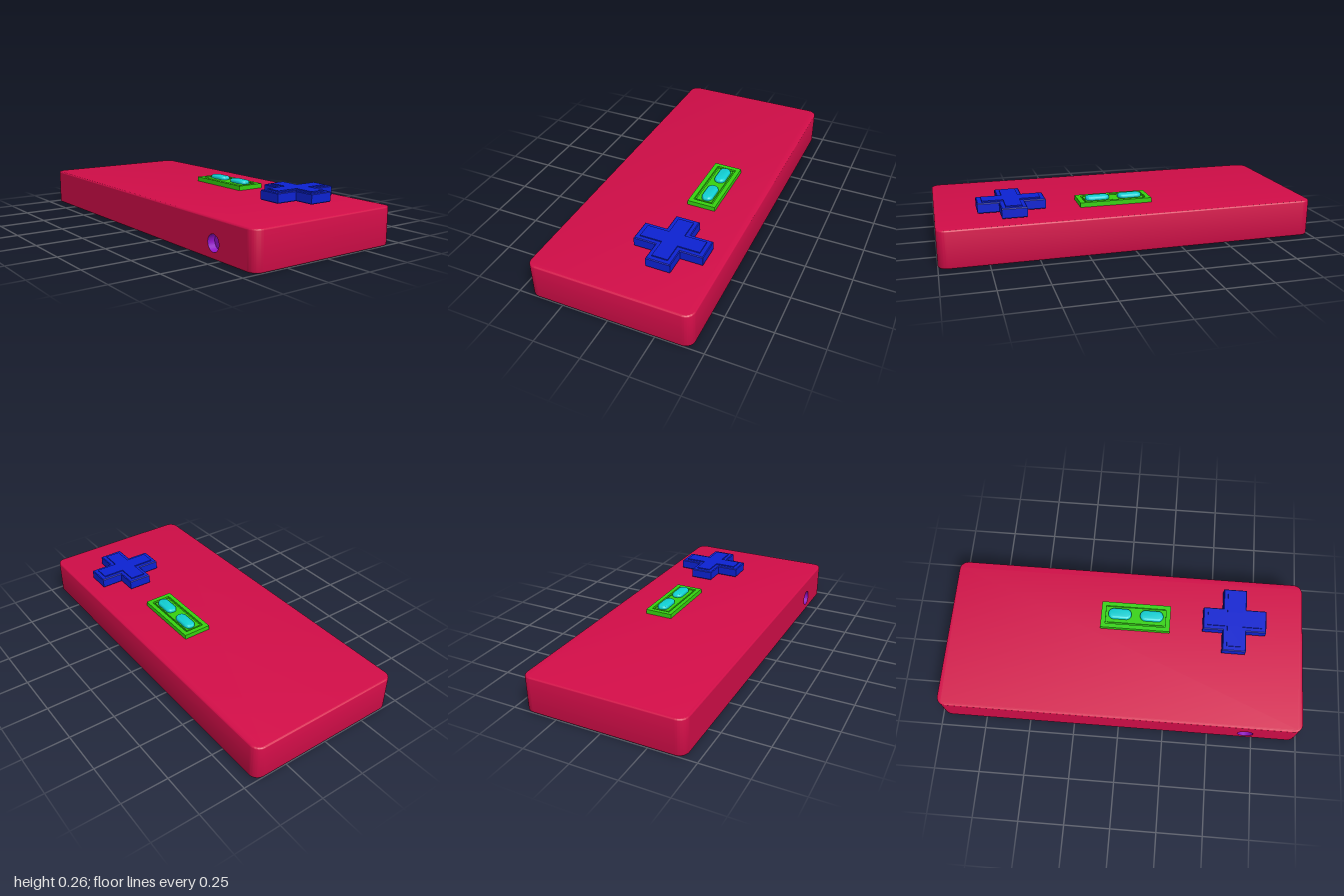
import * as THREE from 'three';
import { toCreasedNormals } from 'three/addons/utils/BufferGeometryUtils.js';

const mat = (name, color) => Object.assign(new THREE.MeshStandardMaterial({ color }), { name });

// Rounded rectangle centred on the origin, from half sizes
function roundedRect(hx, hy, r) {
  const s = new THREE.Shape();
  s.absarc(hx - r, hy - r, r, 0, Math.PI / 2);
  s.absarc(r - hx, hy - r, r, Math.PI / 2, Math.PI);
  s.absarc(r - hx, r - hy, r, Math.PI, Math.PI * 1.5);
  s.absarc(hx - r, r - hy, r, Math.PI * 1.5, Math.PI * 2);
  s.closePath();
  return s;
}

const rect = (hx, hy) => new THREE.Shape([[-hx, -hy], [hx, -hy], [hx, hy], [-hx, hy]].map(p => new THREE.Vector2(...p)));

// Plus-shaped outline: half lengths a, b and half arm width w
const plus = (a, b, w) => new THREE.Shape([
  [a, -w], [a, w], [w, w], [w, b], [-w, b], [-w, w],
  [-a, w], [-a, -w], [-w, -w], [-w, -b], [w, -b], [w, -w],
].map(p => new THREE.Vector2(...p)));

// Upright slab from y0 to y1, with the outline as its widest section
function slab(shape, y0, y1, bevel = 0, segments = 1) {
  const g = new THREE.ExtrudeGeometry(shape, {
    depth: y1 - y0 - 2 * bevel, bevelEnabled: bevel > 0, bevelSize: bevel,
    bevelThickness: bevel, bevelOffset: -bevel, bevelSegments: segments, curveSegments: 10,
  });
  return g.rotateX(-Math.PI / 2).translate(0, y0 + bevel, 0);
}

// Drop the flat front wall so that a pierced one can take its place
function openFront(g, z) {
  const p = g.attributes.position, kept = [];
  for (let i = 0; i < p.count; i += 3) {
    if ([0, 1, 2].every(k => p.getZ(i + k) > z - 1e-4)) continue;
    for (let k = 0; k < 3; k++) kept.push(p.getX(i + k), p.getY(i + k), p.getZ(i + k));
  }
  const out = new THREE.BufferGeometry();
  out.setAttribute('position', new THREE.Float32BufferAttribute(kept, 3));
  return toCreasedNormals(out, 0.6);
}

export function createModel() {
  const model = new THREE.Group();
  const red = mat('bodyRed', 0xd20d48);
  const blue = mat('padBlue', 0x0c22d2);
  const green = mat('plateGreen', 0x36d20f);
  const cyan = mat('buttonCyan', 0x10d0d4);
  const purple = mat('socketPurple', 0x8f10c4);

  const add = (parent, name, geometry, material, x = 0, y = 0, z = 0) => {
    const m = new THREE.Mesh(geometry, material);
    m.name = name;
    m.position.set(x, y, z);
    parent.add(m);
    return m;
  };
  const group = (name, x, z) => {
    const g = new THREE.Group();
    g.name = name;
    g.position.set(x, 0, z);
    model.add(g);
    return g;
  };

  // Body, with a round opening in its front wall
  const W = 1, D = 0.437, H = 0.197, R = 0.05, B = 0.008;
  const hx = 0.706, hy = 0.078, hr = 0.043, depth = 0.04;
  add(model, 'body', openFront(slab(roundedRect(W, D, R), 0, H, B, 3), D), red);
  const wall = new THREE.Shape([[R - W, B], [W - R, B], [W - R, H - B], [R - W, H - B]].map(p => new THREE.Vector2(...p)));
  wall.holes.push(new THREE.Path().absarc(hx, hy, hr, 0, Math.PI * 2, true));
  add(model, 'frontWall', new THREE.ShapeGeometry(wall, 16), red, 0, 0, D);

  // Socket lining and floor
  const socket = group('socket', hx, D);
  const lining = new THREE.CylinderGeometry(hr, hr, depth, 32, 1, true).rotateX(Math.PI / 2);
  const liningMat = purple;
  liningMat.side = THREE.DoubleSide;
  add(socket, 'socketLining', lining, liningMat, 0, hy, -depth / 2);
  add(socket, 'socketFloor', new THREE.CircleGeometry(hr, 32), purple, 0, hy, -depth);

  // Direction pad: thick cross with a smaller raised cross on top
  const pad = group('directionPad', 0.608, -0.165);
  add(pad, 'padBase', slab(plus(0.176, 0.185, 0.065), 0.205, 0.258, 0.004), blue);
  add(pad, 'padTop', slab(plus(0.151, 0.16, 0.042), 0.257, 0.264), blue);

  // Button plate: rim around a sunken panel
  const plate = group('buttonPlate', 0.052, -0.157);
  const rim = rect(0.196, 0.078);
  rim.holes.push(new THREE.Path(rect(0.17, 0.054).getPoints().reverse()));
  add(plate, 'plateRim', slab(rim, H - 0.004, 0.222), green);
  add(plate, 'platePanel', slab(rect(0.171, 0.055), H - 0.004, 0.212), green);
  add(plate, 'plateInset', slab(rect(0.16, 0.044), 0.211, 0.219), green);

  // Pill buttons with softly rounded tops
  for (const [name, x] of [['rightButton', -0.09], ['leftButton', 0.09]]) {
    const pill = toCreasedNormals(slab(roundedRect(0.066, 0.031, 0.0305), 0.205, 0.238, 0.012, 4), 0.7);
    add(plate, name, pill, cyan, x, 0, -0.007);
  }
  return model;
}
